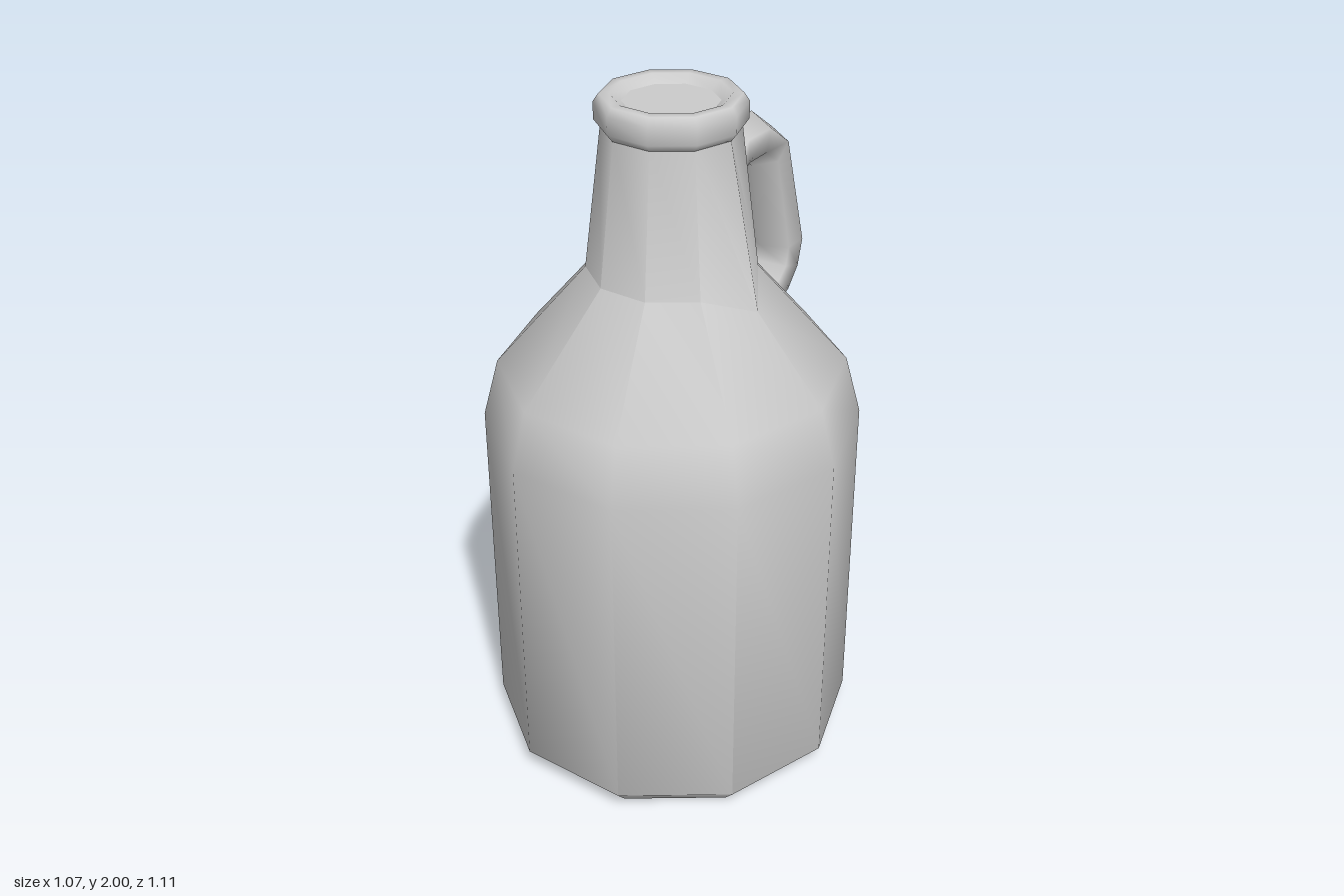
import * as THREE from 'three';
import { toCreasedNormals } from 'three/addons/utils/BufferGeometryUtils.js';

const SIDES = 10;
const AXIS_Z = 0.045;
const CREASE = 0.78;

// Ten-sided turned shape with corners on the x axis
function turned(profile) {
  const points = profile.map(([r, y]) => new THREE.Vector2(r, y));
  return new THREE.LatheGeometry(points, SIDES, Math.PI / 2);
}

// Six-sided handle lofted between outer and inner outlines in the yz plane
function handleGeometry(stations) {
  const n = 6;
  const positions = [];
  const index = [];
  for (const [oz, oy, iz, iy, w] of stations) {
    for (let i = 0; i < n; i++) {
      const a = (i / n) * Math.PI * 2;
      const c = Math.cos(a) / 2;
      positions.push(
        Math.sin(a) * w,
        (oy + iy) / 2 + c * (oy - iy),
        (oz + iz) / 2 + c * (oz - iz)
      );
    }
  }
  for (let j = 0; j < stations.length - 1; j++) {
    for (let i = 0; i < n; i++) {
      const k = (i + 1) % n;
      const a = j * n + i, b = j * n + k;
      index.push(a, b, a + n, b, b + n, a + n);
    }
  }
  const geometry = new THREE.BufferGeometry();
  geometry.setAttribute('position', new THREE.Float32BufferAttribute(positions, 3));
  geometry.setIndex(index);
  geometry.computeVertexNormals();
  return geometry;
}

export function createModel() {
  const group = new THREE.Group();
  group.name = 'jug';
  const material = new THREE.MeshStandardMaterial({ color: 0xcccccc });

  function add(name, geometry, z = 0) {
    const mesh = new THREE.Mesh(geometry, material);
    mesh.name = name;
    mesh.position.z = z;
    group.add(mesh);
  }

  // Body, shoulder and neck
  const body = turned([
    [0, 0], [0.48, 0], [0.535, 0.06], [0.535, 1.05],
    [0.49, 1.22], [0.235, 1.51], [0.185, 1.92],
  ]);
  // One corner of the neck base sags outward
  const p = body.attributes.position;
  for (let i = 0; i < p.count; i++) {
    if (Math.abs(p.getY(i) - 1.51) < 0.01 && p.getX(i) > 0.23) p.setXYZ(i, 0.28, 1.45, 0);
  }
  add('body', toCreasedNormals(body, CREASE), AXIS_Z);

  // Rounded lip
  add('lip', turned([
    [0.175, 1.908], [0.187, 1.91], [0.203, 1.93], [0.203, 1.978],
    [0.188, 2], [0.16, 2], [0.13, 1.98],
  ]), AXIS_Z);

  // Flat closure inside the lip
  add('mouth', turned([[0.13, 1.98], [0, 1.98]]), AXIS_Z);

  // Handle: outer z, outer y, inner z, inner y, half width
  add('handle', handleGeometry([
    [-0.13, 1.78, -0.13, 1.61, 0.07],
    [-0.21, 1.84, -0.22, 1.705, 0.088],
    [-0.34, 1.835, -0.3, 1.705, 0.084],
    [-0.45, 1.755, -0.345, 1.67, 0.084],
    [-0.555, 1.4, -0.405, 1.4, 0.086],
    [-0.53, 1.31, -0.395, 1.355, 0.086],
    [-0.475, 1.24, -0.365, 1.335, 0.086],
    [-0.4, 1.195, -0.3, 1.32, 0.086],
  ]));

  return group;
}
